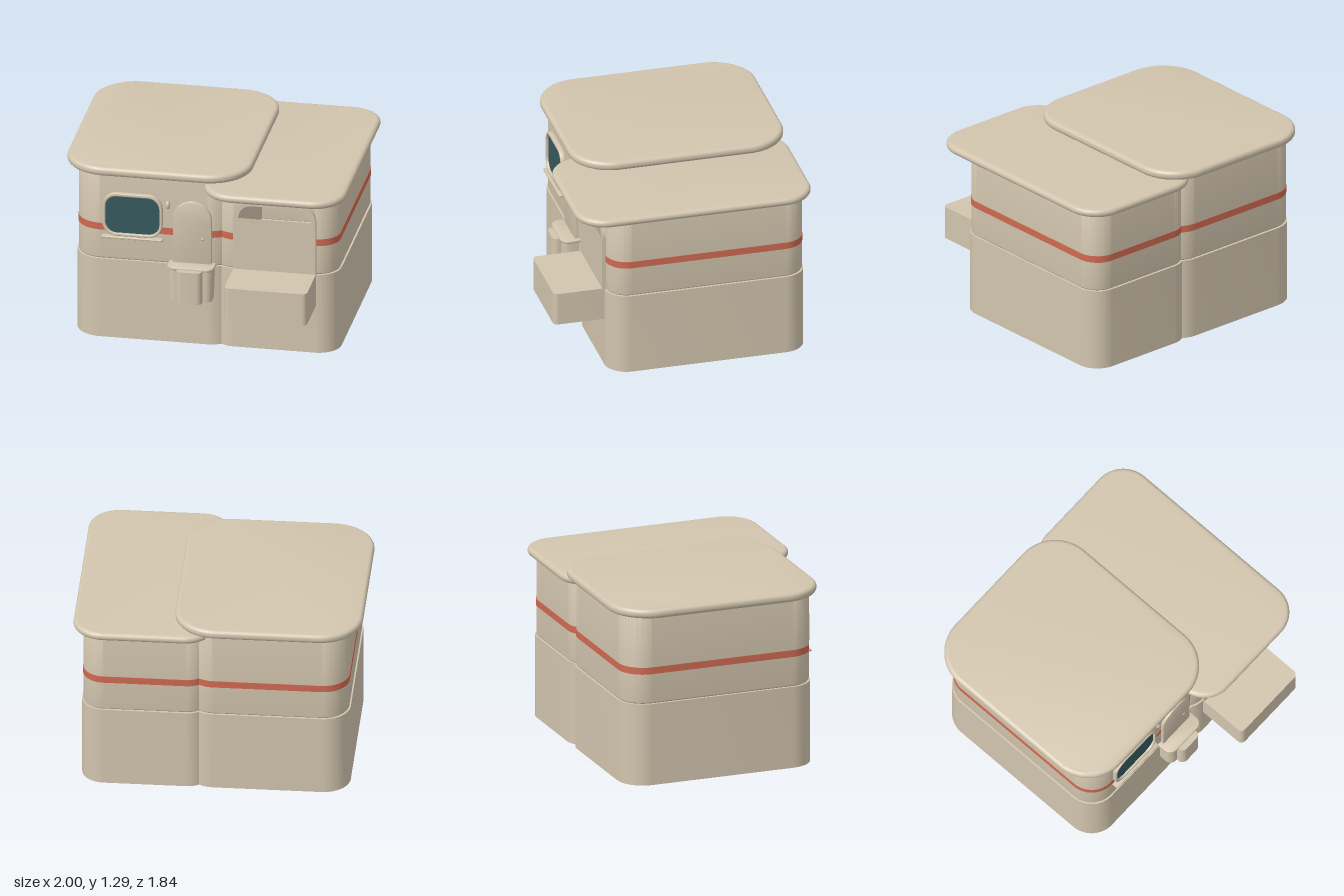
import * as THREE from 'three';
import { toCreasedNormals } from 'three/addons/utils/BufferGeometryUtils.js';

export function createModel() {
  const house = new THREE.Group();
  house.name = 'house';
  const mat = (name, color) => {
    const m = new THREE.MeshStandardMaterial({ color });
    m.name = name;
    return m;
  };
  const plaster = mat('plaster', 0xd2c5ae);
  const red = mat('coralRed', 0xcf6a52);
  const glass = mat('tealGlass', 0x36595f);

  const add = (name, geometry, material, x = 0, y = 0, z = 0) => {
    const mesh = new THREE.Mesh(geometry, material);
    mesh.name = name;
    mesh.position.set(x, y, z);
    house.add(mesh);
    return mesh;
  };

  // Rounded rectangle; rb is the radius of the two lower corners,
  // notch [a, b, top] cuts a slot up from the lower edge
  function rounded(Type, x0, y0, x1, y1, r, rb = r, notch = null) {
    const s = new Type();
    s.moveTo(x0 + rb, y0);
    if (notch) {
      const [a, b, top] = notch;
      s.lineTo(a, y0);
      s.lineTo(a, top);
      s.lineTo(b, top);
      s.lineTo(b, y0);
    }
    s.lineTo(x1 - rb, y0);
    if (rb) s.absarc(x1 - rb, y0 + rb, rb, -Math.PI / 2, 0);
    s.lineTo(x1, y1 - r);
    s.absarc(x1 - r, y1 - r, r, 0, Math.PI / 2);
    s.lineTo(x0 + r, y1);
    s.absarc(x0 + r, y1 - r, r, Math.PI / 2, Math.PI);
    s.lineTo(x0, y0 + rb);
    if (rb) s.absarc(x0 + rb, y0 + rb, rb, Math.PI, Math.PI * 1.5);
    return s;
  }

  function extrude(shape, depth, bevel = 0) {
    const g = new THREE.ExtrudeGeometry(shape, {
      depth: depth - 2 * bevel, curveSegments: 16,
      bevelEnabled: bevel > 0, bevelSize: bevel, bevelThickness: bevel,
      bevelOffset: -bevel, bevelSegments: 5,
    });
    g.translate(0, 0, bevel);
    return toCreasedNormals(g, 0.6);
  }

  // Upright slab from a floor plan given in x and z
  function slab(name, material, [x0, x1, zBack, zFront], y0, y1, r, bevel = 0, notch = null) {
    const plan = rounded(THREE.Shape, x0, -zFront, x1, -zBack, r, r, notch);
    const g = extrude(plan, y1 - y0, bevel);
    g.rotateX(-Math.PI / 2);
    return add(name, g, material, 0, y0, 0);
  }

  // Front-facing frame with an opening
  function frame(name, outer, inner, z0, z1, bevel) {
    const shape = rounded(THREE.Shape, ...outer);
    shape.holes.push(rounded(THREE.Path, ...inner));
    add(name, extrude(shape, z1 - z0, bevel), plaster, 0, 0, z0);
  }
  const plate = (name, material, outline, z) =>
    add(name, extrude(rounded(THREE.Shape, ...outline), 0.008), material, 0, 0, z);

  // Two overlapping blocks: base, wall, stripe and roof
  const blocks = [
    { side: 'right', x: [-0.91, 0.2], r: 0.18, top: 1.24,
      roof: [-1, 0.3, -0.92, 0.61], roofY: [1.228, 1.292], roofR: 0.3 },
    { side: 'left', x: [0.06, 0.93], r: 0.15, top: 1.18,
      roof: [0.01, 1, -0.91, 0.775], roofY: [1.17, 1.226], roofR: 0.22,
      notch: [0.245, 0.755, 0.3], stripeNotch: [0.215, 0.785, 0.32] },
  ];
  for (const b of blocks) {
    const grow = (d) => [b.x[0] - d, b.x[1] + d, -0.85 - d, 0.55 + d];
    slab(b.side + 'Base', plaster, grow(0.009), 0, 0.588, b.r + 0.009);
    slab(b.side + 'Wall', plaster, grow(0), 0.588, b.top, b.r, 0.012, b.notch);
    slab(b.side + 'Stripe', red, grow(0.003), 0.803, 0.852, b.r + 0.003, 0, b.stripeNotch);
    slab(b.side + 'Roof', plaster, b.roof, ...b.roofY, b.roofR, 0.027);
  }

  // Recessed bay: ceiling, arched surround, ceiling lamp and projecting platform
  add('bayLintel', new THREE.BoxGeometry(0.52, 0.1, 0.86), plaster, 0.5, 1.13, 0.12);
  frame('baySurround', [0.21, 0.588, 0.79, 1.11, 0.13, 0],
    [0.245, 0.587, 0.755, 1.075, 0.095, 0], 0.46, 0.575, 0);
  add('bayLamp', new THREE.BoxGeometry(0.09, 0.012, 0.05), plaster, 0.5, 1.07, 0.45);
  slab('bayPlatform', plaster, [0.21, 0.79, 0.4, 0.92], 0.358, 0.595, 0.035);
  add('bayFloor', new THREE.BoxGeometry(0.52, 0.03, 0.86), plaster, 0.5, 0.58, 0.12);

  // Window
  frame('windowFrame', [-0.71, 0.775, -0.29, 1.095, 0.1],
    [-0.69, 0.795, -0.31, 1.072, 0.08], 0.53, 0.58, 0.006);
  plate('windowPane', glass, [-0.7, 0.785, -0.3, 1.085, 0.09], 0.555);
  slab('windowSill', plaster, [-0.715, -0.285, 0.53, 0.595], 0.758, 0.773, 0.015, 0.005);

  // Arched door with porthole and knob
  frame('doorFrame', [-0.215, 0.595, 0.055, 1.068, 0.134, 0],
    [-0.19, 0.594, 0.03, 1.043, 0.109, 0], 0.52, 0.575, 0.004);
  plate('door', red, [-0.2, 0.595, 0.04, 1.05, 0.115, 0], 0.555);
  add('portholeRim', new THREE.TorusGeometry(0.034, 0.007, 8, 32), plaster, -0.08, 0.925, 0.564);
  const pane = add('portholePane', new THREE.CylinderGeometry(0.032, 0.032, 0.008, 32), glass, -0.08, 0.925, 0.564);
  pane.rotation.x = Math.PI / 2;
  add('doorKnob', new THREE.SphereGeometry(0.011, 16, 12), plaster, -0.006, 0.795, 0.572);

  // Oval lamp beside the door
  add('wallLamp', new THREE.SphereGeometry(1, 20, 14), plaster, -0.253, 1.027, 0.555)
    .scale.set(0.016, 0.03, 0.02);

  // Doorstep: tapered body, rounded lip and front column
  const body = slab('doorstepBody', plaster, [-0.238, 0.078, 0.5, 0.66], 0.358, 0.594, 0.05);
  const p = body.geometry.attributes.position;
  for (let i = 0; i < p.count; i++) {
    const k = 0.95 + 0.05 * p.getY(i) / 0.236;
    p.setX(i, -0.08 + (p.getX(i) + 0.08) * k);
  }
  slab('doorstepLip', plaster, [-0.245, 0.085, 0.5, 0.672], 0.588, 0.611, 0.06, 0.008);
  slab('doorstepColumn', plaster, [-0.17, 0.01, 0.6, 0.715], 0.358, 0.597, 0.04);

  return house;
}
